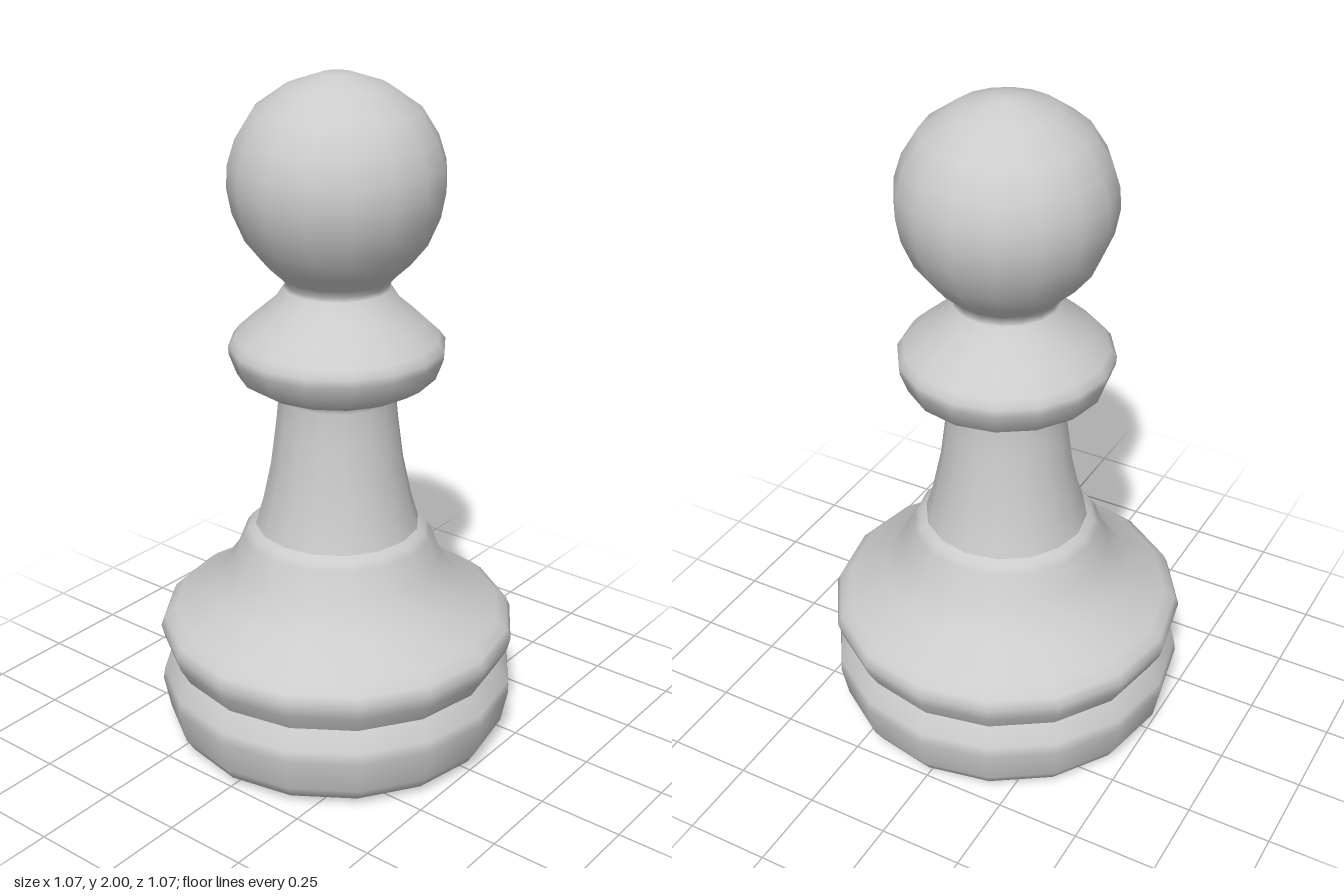
import * as THREE from 'three';

const SIDES = 16;

// Turned profiles as [radius, height], bottom to top; a crease falls between parts.
const PROFILES = {
  foot: [[0, 0], [0.4, 0], [0.44, 0.006], [0.49, 0.025], [0.515, 0.065], [0.535, 0.165], [0.53, 0.2], [0.495, 0.255]],
  baseBell: [[0.495, 0.255], [0.525, 0.31], [0.535, 0.35], [0.523, 0.378], [0.49, 0.405], [0.375, 0.475],
    [0.31, 0.565], [0.28, 0.64], [0.265, 0.66], [0.243, 0.675]],
  stem: [[0.243, 0.675], [0.222, 0.745], [0.195, 0.87], [0.178, 1.0], [0.17, 1.08], [0.175, 1.1], [0.19, 1.113]],
  collar: [[0.19, 1.113], [0.245, 1.122], [0.288, 1.15], [0.31, 1.21], [0.312, 1.235], [0.295, 1.258],
    [0.25, 1.3], [0.18, 1.36], [0.152, 1.403]],
  head: [[0.152, 1.403], [0.147, 1.415], [0.165, 1.438], [0.21, 1.48], [0.258, 1.54], [0.292, 1.62], [0.305, 1.69],
    [0.302, 1.755], [0.28, 1.825], [0.232, 1.902], [0.142, 1.965], [0.045, 1.998], [0, 2]],
};

export function createModel() {
  const pawn = new THREE.Group();
  pawn.name = 'pawn';
  const material = new THREE.MeshStandardMaterial({ color: 0xcccccc });

  for (const [name, profile] of Object.entries(PROFILES)) {
    const points = profile.map(([r, y]) => new THREE.Vector2(r, y));
    const mesh = new THREE.Mesh(new THREE.LatheGeometry(points, SIDES), material);
    mesh.name = name;
    pawn.add(mesh);
  }
  return pawn;
}
